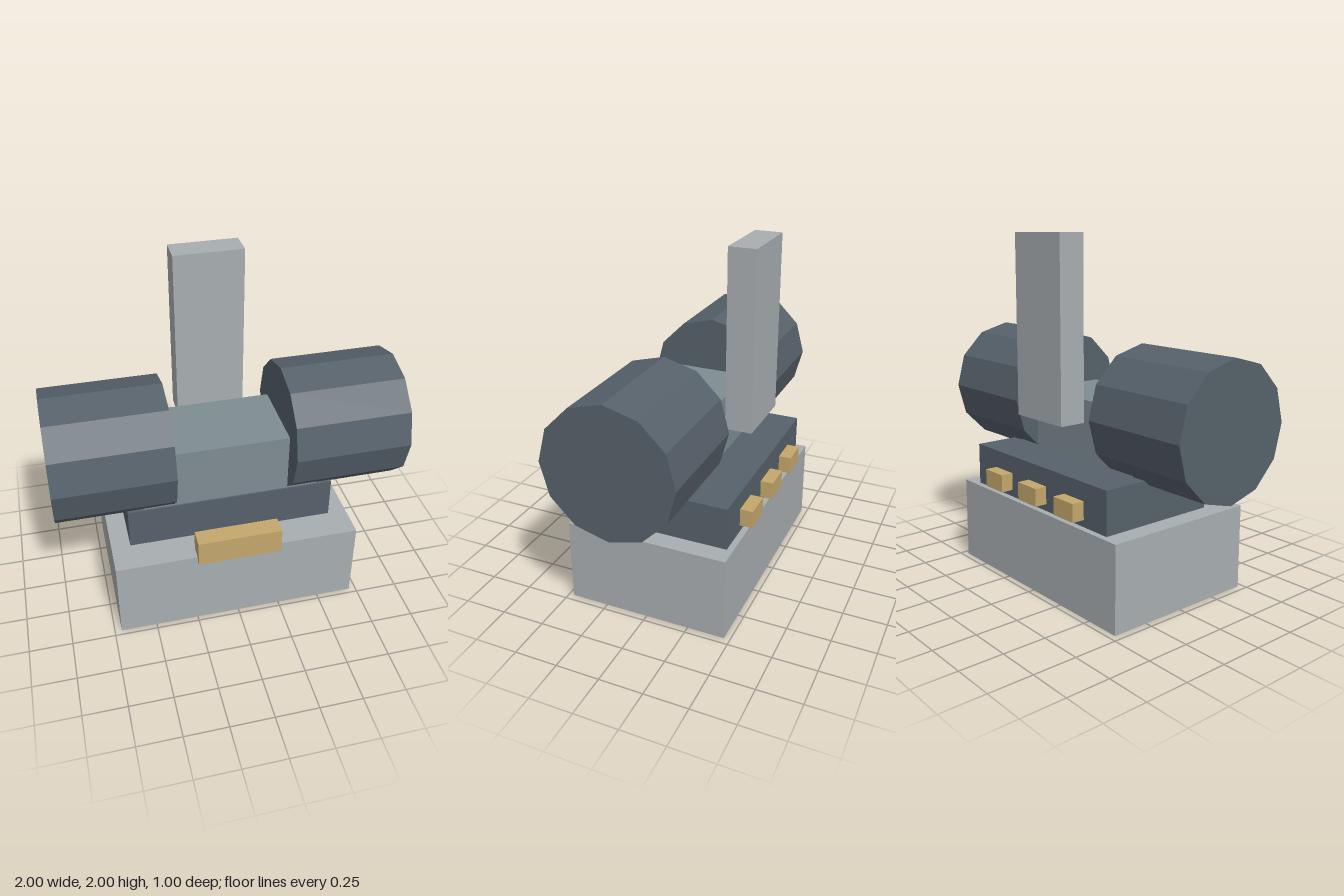
import * as THREE from 'three';

const material = (name, color) => {
  const m = new THREE.MeshStandardMaterial({ color, flatShading: true });
  m.name = name;
  return m;
};

export function createModel() {
  const model = new THREE.Group();
  model.name = 'model';

  const lightGrey = material('light grey', 0xa8adb0);
  const slate = material('dark slate', 0x56616a);
  const steel = material('blue grey', 0x7e8d92);
  const gold = material('gold', 0xc4a86c);

  // Box given by its extents on each axis
  const box = (name, mat, [x0, x1], [y0, y1], [z0, z1]) => {
    const mesh = new THREE.Mesh(new THREE.BoxGeometry(x1 - x0, y1 - y0, z1 - z0), mat);
    mesh.position.set((x0 + x1) / 2, (y0 + y1) / 2, (z0 + z1) / 2);
    mesh.name = name;
    model.add(mesh);
  };

  // Stacked body
  box('base', lightGrey, [-0.71, 0.71], [0, 0.49], [-0.465, 0.47]);
  box('deck', slate, [-0.6, 0.6], [0.49, 0.735], [-0.43, 0.285]);
  box('centreBlock', steel, [-0.51, 0.51], [0.72, 1.09], [-0.18, 0.276]);

  // Upright post at the back
  box('post', lightGrey, [-0.2, 0.2], [0.985, 2], [-0.408, -0.253]);

  // Twelve-sided drums on both sides, with a corner at the top
  const drumGeometry = new THREE.CylinderGeometry(0.377, 0.377, 0.667, 12).rotateZ(Math.PI / 2);
  for (const side of [-1, 1]) {
    const drum = new THREE.Mesh(drumGeometry, slate);
    drum.position.set(side * 0.6665, 1.032, 0.048);
    drum.name = side > 0 ? 'leftDrum' : 'rightDrum';
    model.add(drum);
  }

  // Front plate and three rear studs
  box('frontPlate', gold, [-0.244, 0.242], [0.46, 0.615], [0.393, 0.5]);
  [-0.333, -0.003, 0.328].forEach((x, i) =>
    box(`rearStud${i + 1}`, gold, [x - 0.083, x + 0.083], [0.53, 0.632], [-0.503, -0.4]));

  return model;
}
